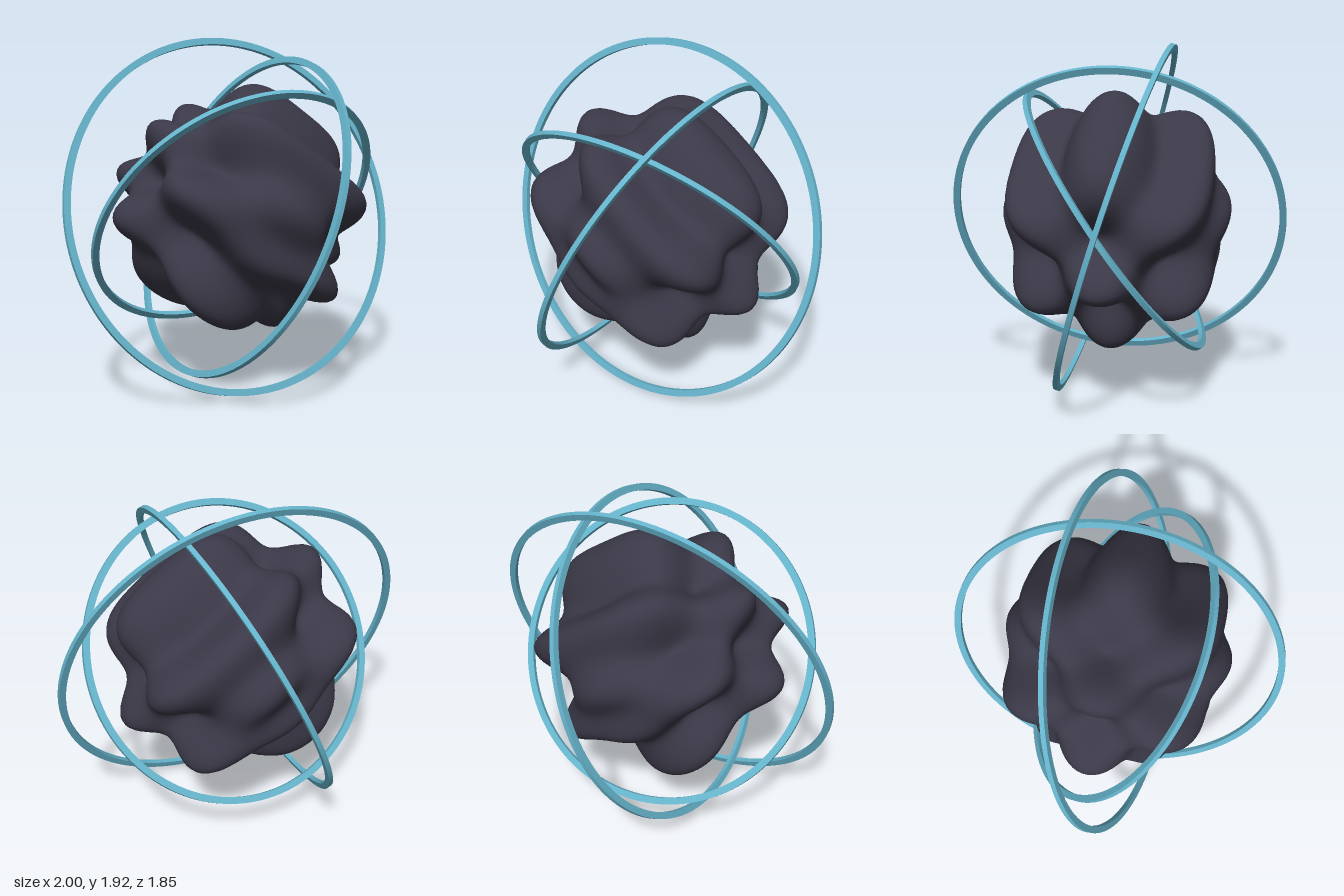
import * as THREE from 'three';
import { mergeVertices, toCreasedNormals } from 'three/addons/utils/BufferGeometryUtils.js';

const CENTER_Y = 0.96;

const stone = new THREE.MeshStandardMaterial({ color: 0x3b3948 });
stone.name = 'dark stone';
const metal = new THREE.MeshStandardMaterial({ color: 0x66b4cc });
metal.name = 'pale blue metal';

// Sphere rippled by diagonal waves, alternating along z
function coreGeometry() {
  let geo = new THREE.IcosahedronGeometry(1, 28);
  geo.deleteAttribute('uv');
  geo.deleteAttribute('normal');
  geo = mergeVertices(geo, 1e-4);
  const pos = geo.attributes.position;
  const v = new THREE.Vector3();
  for (let i = 0; i < pos.count; i++) {
    v.fromBufferAttribute(pos, i).normalize();
    const wave = Math.sin(5 * v.x + 7 * v.y) * Math.cos(5.1 * v.z);
    v.multiplyScalar(0.6 + 0.12 * wave);
    pos.setXYZ(i, v.x, v.y, v.z);
  }
  geo.computeVertexNormals();
  return geo;
}

// Flat band of rectangular section, facing along its normal
function ring(name, outerRadius, normal) {
  const width = 0.037, depth = 0.026;
  const shape = new THREE.Shape().absarc(0, 0, outerRadius, 0, Math.PI * 2, false);
  shape.holes.push(new THREE.Path().absarc(0, 0, outerRadius - width, 0, Math.PI * 2, true));
  const geo = new THREE.ExtrudeGeometry(shape, { depth, bevelEnabled: false, curveSegments: 100 });
  geo.translate(0, 0, -depth / 2);
  const mesh = new THREE.Mesh(toCreasedNormals(geo, 0.5), metal);
  mesh.name = name;
  const n = new THREE.Vector3(...normal).normalize();
  mesh.quaternion.setFromUnitVectors(new THREE.Vector3(0, 0, 1), n);
  mesh.position.y = CENTER_Y;
  return mesh;
}

export function createModel() {
  const model = new THREE.Group();
  model.name = 'ringedCore';

  const core = new THREE.Mesh(coreGeometry(), stone);
  core.name = 'rippledCore';
  core.position.y = CENTER_Y;
  model.add(core);

  // Three nested rings, each tilted its own way
  model.add(ring('outerRing', 1.0, [0.03, 0.3, 0.953]));
  model.add(ring('middleRing', 0.925, [0.92, -0.392, -0.04]));
  model.add(ring('innerRing', 0.85, [0.075, -0.575, 0.815]));
  return model;
}
